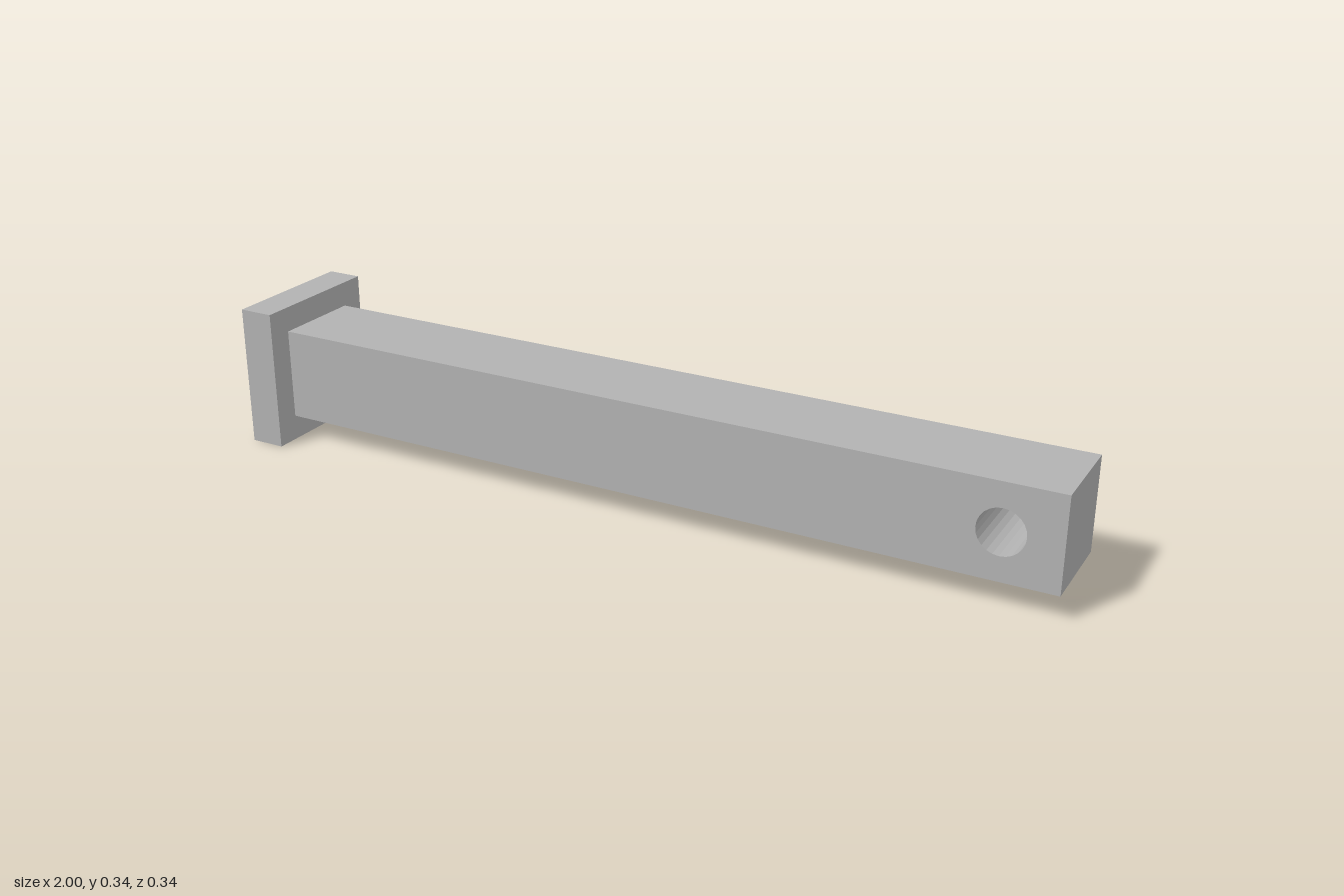
import * as THREE from 'three';

export function createModel() {
  const group = new THREE.Group();
  const steel = new THREE.MeshStandardMaterial({ color: 0xb2b2b2 });
  steel.name = 'grey steel';

  const midY = 0.17;
  const headInner = -0.915;
  const half = 0.11; // half width of the square shaft

  // Square head plate
  const headWidth = headInner + 1;
  const head = new THREE.Mesh(new THREE.BoxGeometry(headWidth, 0.34, 0.34), steel);
  head.name = 'head';
  head.position.set(-1 + headWidth / 2, midY, 0);
  group.add(head);

  // Square shaft with a cross hole near its free end
  const profile = new THREE.Shape([
    new THREE.Vector2(headInner, -half),
    new THREE.Vector2(1, -half),
    new THREE.Vector2(1, half),
    new THREE.Vector2(headInner, half),
  ]);
  const hole = new THREE.Path();
  hole.absarc(0.87, 0, 0.053, 0, Math.PI * 2, true);
  profile.holes.push(hole);

  const shaftGeometry = new THREE.ExtrudeGeometry(profile, {
    depth: half * 2,
    bevelEnabled: false,
    curveSegments: 12,
  });
  shaftGeometry.translate(0, midY, -half);
  const shaft = new THREE.Mesh(shaftGeometry, steel);
  shaft.name = 'shaft';
  group.add(shaft);

  return group;
}
